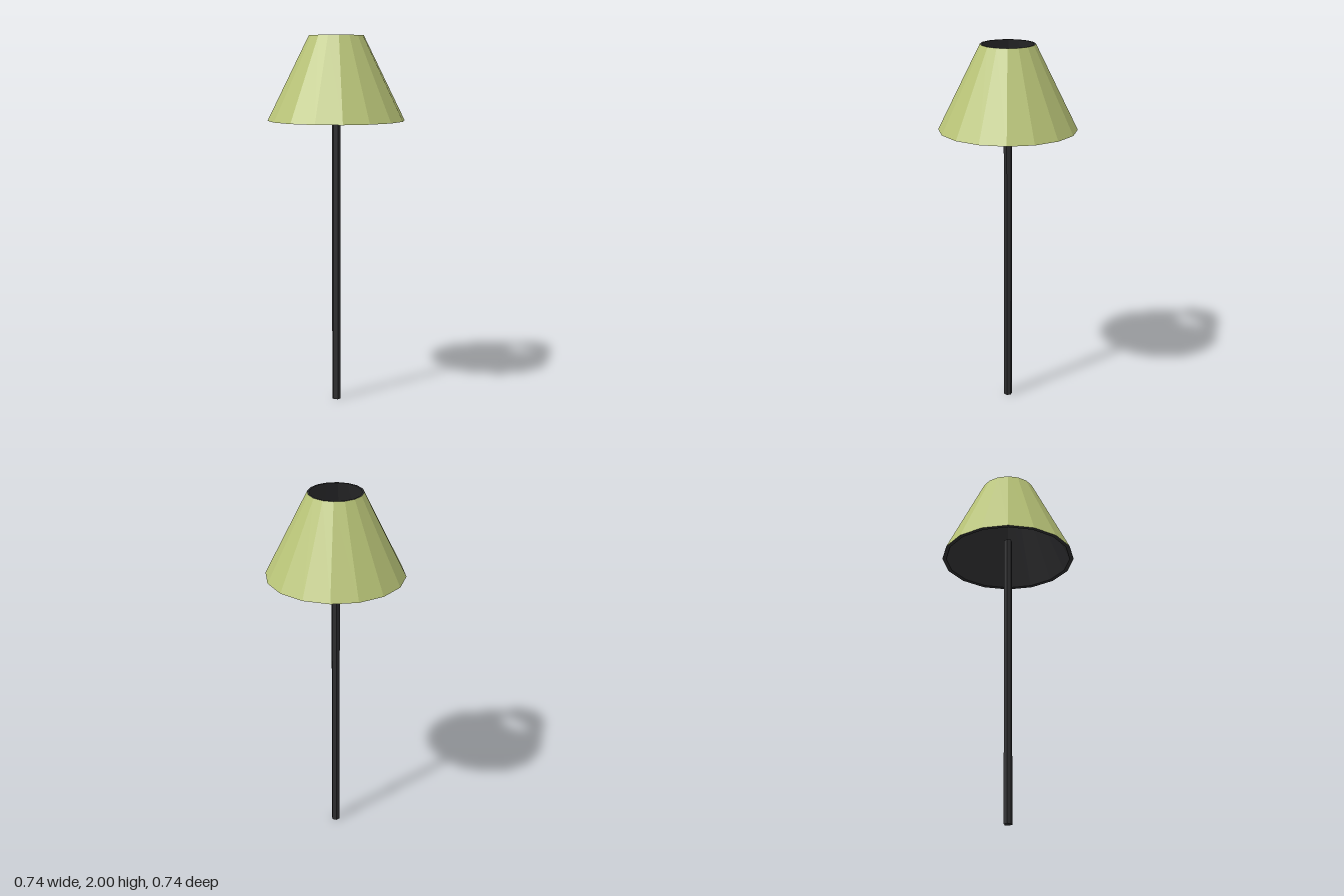
import * as THREE from 'three';

export function createModel() {
  const model = new THREE.Group();
  const olive = new THREE.MeshStandardMaterial({ color: 0xb9c478, flatShading: true });
  olive.name = 'olive shade';
  const black = new THREE.MeshStandardMaterial({ color: 0x2d2d2f, flatShading: true });
  black.name = 'charcoal';

  const add = (name, geometry, material) => {
    const mesh = new THREE.Mesh(geometry, material);
    mesh.name = name;
    model.add(mesh);
    return mesh;
  };
  const lathe = (points) =>
    new THREE.LatheGeometry(points.map(([r, y]) => new THREE.Vector2(r, y)), 16);

  const bottom = 1.545, top = 2;

  // Sixteen-sided outer cone of the shade
  add('shadeOuter', lathe([[0.37, bottom], [0.146, top]]), olive);

  // Dark lining with the top and bottom rims
  add('shadeLining', lathe([[0.146, top], [0.136, top], [0.348, bottom], [0.37, bottom]]), black);

  // Hexagonal pole ending inside the shade
  const poleHeight = 1.66;
  add('pole', new THREE.CylinderGeometry(0.023, 0.023, poleHeight, 6), black)
    .position.y = poleHeight / 2;

  return model;
}
